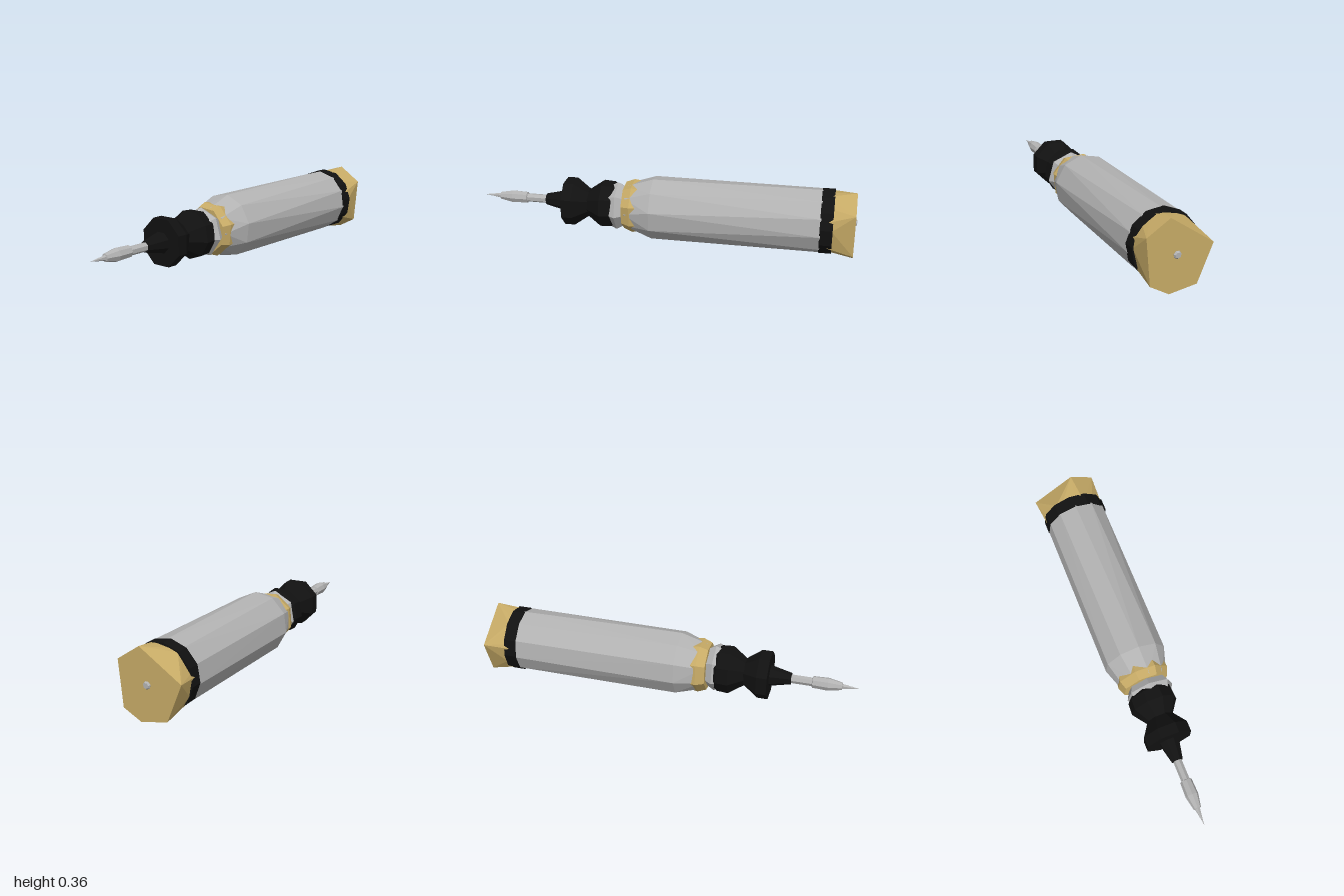
import * as THREE from 'three';
import { ConvexGeometry } from 'three/addons/geometries/ConvexGeometry.js';

const CX = 0.003, CY = 0.187; // the tool's long axis runs along z

export function createModel() {
  const model = new THREE.Group();
  model.name = 'engravingPen';

  const mat = (name, color) => {
    const m = new THREE.MeshStandardMaterial({ color });
    m.name = name;
    return m;
  };
  const silver = mat('silver', 0xb2b2b2);
  const gold = mat('gold', 0xc6aa66);
  const black = mat('black', 0x111111);

  const add = (name, geometry, material) => {
    const mesh = new THREE.Mesh(geometry, material);
    mesh.name = name;
    model.add(mesh);
    return mesh;
  };

  // Faceted turned part: profile is [radius, z] from back to front
  const turned = (name, profile, sides, phase, material) => {
    const pts = profile.map(([r, z]) => new THREE.Vector2(r, z));
    const g = new THREE.LatheGeometry(pts, sides, phase).rotateX(Math.PI / 2).toNonIndexed();
    g.computeVertexNormals();
    const mesh = add(name, g, material);
    mesh.position.set(CX, CY, 0);
    return mesh;
  };

  // Ring of points for the convex, irregularly faceted parts
  const ring = (n, r, z, phase = 0) => Array.from({ length: n }, (_, i) => {
    const a = phase + (i / n) * Math.PI * 2;
    return new THREE.Vector3(CX + r * Math.sin(a), CY + r * Math.cos(a), z);
  });

  // Barrel with slightly twisted facets and a tapered nose
  add('barrel', new ConvexGeometry([
    ...ring(11, 0.168, -0.82), ...ring(10, 0.167, 0.06, 0.12), ...ring(9, 0.122, 0.2, 0.2),
  ]), silver);

  // Grip band and flared end cap
  turned('capBand', [[0, -0.88], [0.171, -0.88], [0.171, -0.815], [0, -0.815]], 12, 0.1, black);
  const capCorners = [[0.04, 0.365], [0.157, 0.287], [0.135, 0.055], [0.04, 0.003], [-0.1, 0.03], [-0.178, 0.22]];
  add('endCap', new ConvexGeometry([
    ...capCorners.map(([x, y]) => new THREE.Vector3(x, y, -0.99)),
    ...ring(7, 0.163, -0.835, 0.35), ...ring(9, 0.163, -0.875, 0.1),
  ]), gold);
  turned('endScrew', [[0, -1], [0.014, -1], [0.02, -0.992], [0.02, -0.98]], 7, 0, silver);

  // Nose ring and the collar in front of it
  turned('noseRing', [[0, 0.11], [0.135, 0.12], [0.142, 0.17], [0.125, 0.215], [0, 0.22]], 8, 0.3, gold);
  const collar = turned('collar', [[0, 0.19], [0.1, 0.2], [0.128, 0.25], [0.105, 0.3], [0, 0.3]], 7, 0.5, silver);
  collar.position.x += 0.008;

  // Two black knobs joined by a waist
  turned('rearKnob', [[0, 0.21], [0.078, 0.22], [0.122, 0.275], [0.126, 0.335], [0.066, 0.42], [0, 0.42]], 9, 0, black);
  turned('frontKnob', [[0, 0.4], [0.066, 0.4], [0.127, 0.485], [0.127, 0.54], [0.055, 0.54], [0.03, 0.65], [0, 0.65]], 8, Math.PI / 8, black);

  // Needle with its thick sleeve and sharp point
  turned('needleShaft', [[0, 0.61], [0.023, 0.62], [0.023, 0.77]], 7, 0.2, silver);
  turned('needleSleeve', [[0, 0.75], [0.031, 0.76], [0.034, 0.84], [0.02, 0.91], [0, 0.915]], 8, 0, silver);
  turned('needlePoint', [[0.016, 0.9], [0.011, 0.93], [0, 1]], 6, 0, silver);

  return model;
}
